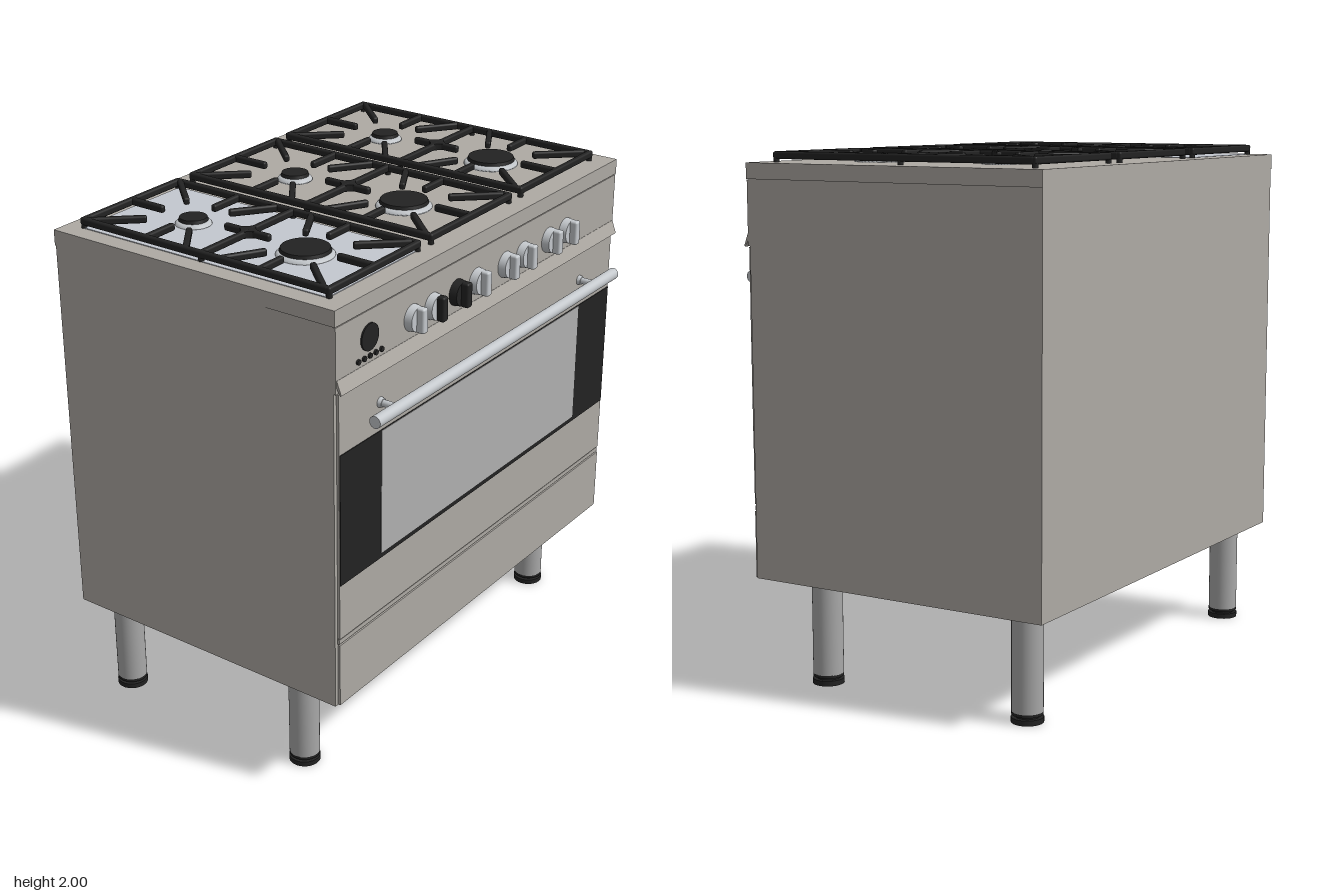
import * as THREE from 'three';
import { RoundedBoxGeometry } from 'three/addons/geometries/RoundedBoxGeometry.js';

const mat = (color) => new THREE.MeshStandardMaterial({ color });
const steel = mat(0xaeaaa4), black = mat(0x222222), chrome = mat(0xc4c8cc);
const glass = mat(0xb0b0b0), tray = mat(0xc4c8d0), legGrey = mat(0xa8a8a8), gap = mat(0x77746f);

function add(parent, name, geometry, material, x = 0, y = 0, z = 0) {
  const mesh = new THREE.Mesh(geometry, material);
  mesh.name = name;
  mesh.position.set(x, y, z);
  parent.add(mesh);
  return mesh;
}

// Box given by its limits on each axis
function block(parent, name, material, [x0, x1], [y0, y1], [z0, z1]) {
  return add(parent, name, new THREE.BoxGeometry(x1 - x0, y1 - y0, z1 - z0), material,
    (x0 + x1) / 2, (y0 + y1) / 2, (z0 + z1) / 2);
}

const cyl = (r0, r1, h, n = 32) => new THREE.CylinderGeometry(r0, r1, h, n);
const cylZ = (r0, r1, h, n = 32) => cyl(r0, r1, h, n).rotateX(Math.PI / 2);

function group(parent, name, x = 0, y = 0, z = 0) {
  const g = new THREE.Group();
  g.name = name;
  g.position.set(x, y, z);
  parent.add(g);
  return g;
}

// Cast bar lying in the grate plane between two (x, z) points
function bar(parent, name, [x0, z0], [x1, z1], w = 0.023, h = 0.028, y = 0.026) {
  const len = Math.hypot(x1 - x0, z1 - z0);
  const m = add(parent, name, new RoundedBoxGeometry(len, h, w, 2, 0.008), black, (x0 + x1) / 2, y, (z0 + z1) / 2);
  m.rotation.y = -Math.atan2(z1 - z0, x1 - x0);
}

function buildGrate(root, cx) {
  const g = group(root, 'grate', cx, 1.96, 0);
  const w = 0.258, back = -0.605, front = 0.495, mid = -0.055;
  for (const z of [back, front]) bar(g, 'grateEndRail', [-w - 0.011, z], [w + 0.011, z]);
  bar(g, 'grateMiddleBar', [-w, mid], [w, mid]);
  bar(g, 'grateMiddleSpur', [0, -0.16], [0, 0.045]);
  bar(g, 'grateBackFinger', [0, back], [0, -0.45]);
  bar(g, 'grateFrontFinger', [0, front], [0, 0.34]);
  for (const s of [-1, 1]) {
    bar(g, 'grateSideRail', [s * w, back], [s * w, front]);
    for (const z of [-0.31, 0.2]) bar(g, 'grateSideFinger', [s * w, z], [s * (z < 0 ? 0.11 : 0.13), z]);
    bar(g, 'grateDiagonal', [s * w, back + 0.01], [s * 0.11, -0.435]);
    bar(g, 'grateDiagonal', [s * w, -0.125], [s * 0.11, -0.235]);
    bar(g, 'grateDiagonal', [s * w, 0.03], [s * 0.11, 0.115]);
    bar(g, 'grateDiagonal', [s * w, front - 0.02], [s * 0.115, 0.32]);
    for (const z of [back, mid, front]) add(g, 'grateFoot', cyl(0.011, 0.011, 0.02, 12), black, s * w, 0.01, z);
  }
  // Star web where the middle bars cross
  const star = new THREE.Shape();
  const r = 0.05;
  star.moveTo(r, 0);
  star.quadraticCurveTo(0.01, 0.01, 0, r);
  star.quadraticCurveTo(-0.01, 0.01, -r, 0);
  star.quadraticCurveTo(-0.01, -0.01, 0, -r);
  star.quadraticCurveTo(0.01, -0.01, r, 0);
  const geo = new THREE.ExtrudeGeometry(star, { depth: 0.026, bevelEnabled: false, curveSegments: 8 });
  geo.scale(1.1, 1.1, 1).rotateX(-Math.PI / 2);
  add(g, 'grateStar', geo, black, 0, 0.013, mid);
}

function buildBurner(root, x, z, r) {
  const g = group(root, 'burner', x, 1.96, z);
  const profile = [[0, 0], [r + 0.014, 0], [r + 0.012, 0.006], [r + 0.002, 0.018], [0, 0.018]]
    .map(([a, b]) => new THREE.Vector2(a, b));
  add(g, 'burnerRing', new THREE.LatheGeometry(profile, 40), chrome);
  add(g, 'burnerCap', cyl(r - 0.004, r, 0.012, 40), black, 0, 0.024, 0);
}

function buildKnob(root, x, baseMat, gripMat) {
  const g = group(root, 'knob', x, 1.78, 0.577);
  add(g, 'knobBase', cylZ(0.046, 0.05, 0.03), baseMat, 0, 0, 0.015);
  add(g, 'knobGrip', new RoundedBoxGeometry(0.032, 0.094, 0.034, 2, 0.008), gripMat, 0, 0, 0.042);
}

function buildLeg(root, x, z) {
  const g = group(root, 'leg', x, 0, z);
  add(g, 'legTube', cyl(0.058, 0.058, 0.365), legGrey, 0, 0.2225, 0);
  add(g, 'footPad', cyl(0.06, 0.06, 0.02), black, 0, 0.01, 0);
  add(g, 'footNeck', cyl(0.045, 0.045, 0.012), black, 0, 0.025, 0);
  add(g, 'footCollar', cyl(0.058, 0.058, 0.012), black, 0, 0.035, 0);
}

export function createModel() {
  const root = new THREE.Group();
  root.name = 'rangeCooker';

  // Cabinet and worktop
  block(root, 'cabinet', steel, [-0.935, 0.932], [0.4, 1.9], [-0.678, 0.568]);
  block(root, 'worktop', steel, [-0.938, 0.936], [1.9, 1.96], [-0.68, 0.577]);
  block(root, 'spillTray', tray, [-0.865, -0.335], [1.958, 1.963], [-0.605, 0.495]);

  // Front panels, with a dark line between door and drawer
  block(root, 'controlPanel', steel, [-0.935, 0.932], [1.655, 1.897], [0.56, 0.577]);
  block(root, 'panelGap', gap, [-0.92, 0.925], [0.655, 0.685], [0.56, 0.57]);
  block(root, 'drawerFront', steel, [-0.92, 0.925], [0.402, 0.657], [0.56, 0.578]);
  block(root, 'drawerTrim', steel, [-0.92, 0.925], [0.661, 0.679], [0.56, 0.575]);
  block(root, 'ovenDoor', steel, [-0.92, 0.925], [0.684, 1.65], [0.56, 0.578]);
  block(root, 'doorGlassSurround', black, [-0.918, 0.922], [0.905, 1.42], [0.57, 0.581]);
  block(root, 'doorWindow', glass, [-0.675, 0.68], [0.925, 1.418], [0.575, 0.583]);

  // Sloping deflector under the controls
  const lip = new THREE.Shape([[0.57, 1.705], [0.578, 1.705], [0.597, 1.655], [0.592, 1.652], [0.57, 1.69]]
    .map(([z, y]) => new THREE.Vector2(-z, y)));
  const lipGeo = new THREE.ExtrudeGeometry(lip, { depth: 1.86, bevelEnabled: false });
  lipGeo.rotateY(Math.PI / 2);
  add(root, 'deflector', lipGeo, steel, -0.93, 0, 0);

  // Door handle
  const handle = group(root, 'doorHandle', 0, 1.53, 0);
  add(handle, 'handleBar', cyl(0.023, 0.023, 1.64).rotateZ(Math.PI / 2), chrome, 0, 0, 0.655);
  for (const x of [-0.68, 0.68]) {
    add(handle, 'handlePost', cylZ(0.013, 0.013, 0.08, 20), chrome, x, 0, 0.615);
    add(handle, 'handlePostBase', cylZ(0.016, 0.02, 0.015, 20), chrome, x, 0, 0.585);
  }

  // Clock, buttons and knobs
  add(root, 'clock', cylZ(0.05, 0.05, 0.008), black, -0.745, 1.8, 0.579);
  for (let i = 0; i < 5; i++) {
    add(root, 'clockButton', cylZ(0.01, 0.01, 0.01, 16), black, -0.81 + i * 0.0335, 1.73, 0.58);
  }
  [-0.49, -0.365, -0.21, -0.08, 0.115, 0.24, 0.425, 0.55].forEach((x, i) =>
    buildKnob(root, x, i === 2 ? black : chrome, i === 1 || i === 2 ? black : chrome));

  // Hob
  for (const x of [-0.6, 0, 0.6]) {
    buildGrate(root, x);
    buildBurner(root, x, -0.31, 0.055);
    buildBurner(root, x, 0.2, 0.093);
  }

  // Legs
  for (const x of [-0.815, 0.812]) for (const z of [0.33, -0.55]) buildLeg(root, x, z);

  return root;
}
